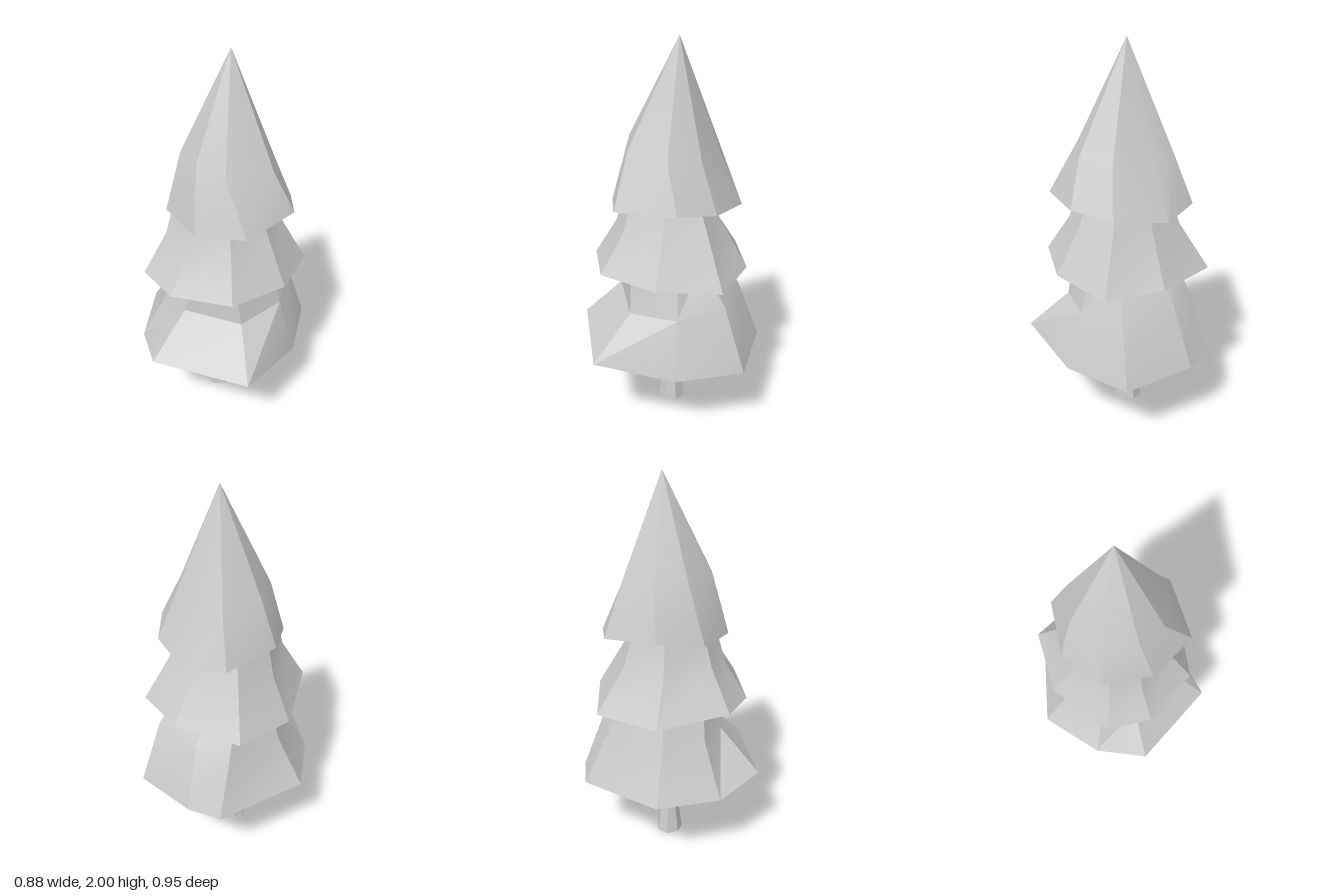
import * as THREE from 'three';
import { toCreasedNormals } from 'three/addons/utils/BufferGeometryUtils.js';

const material = new THREE.MeshStandardMaterial({ color: 0xcccccc });

// Closed skin through rings of [x, y, z] points, listed counter-clockwise seen from above.
function loft(name, rings) {
  const positions = [];
  const tri = (...points) => points.forEach((p) => positions.push(...p));
  const centre = (ring) => [0, 1, 2].map((k) => ring.reduce((sum, p) => sum + p[k], 0) / ring.length);
  const bottom = rings[0], top = rings[rings.length - 1];
  const low = centre(bottom), high = centre(top);
  const n = bottom.length;
  for (let i = 0; i < n; i++) {
    const j = (i + 1) % n;
    for (let r = 0; r < rings.length - 1; r++) {
      const a = rings[r], b = rings[r + 1];
      tri(a[i], a[j], b[j % b.length]);
      if (b.length > 1) tri(a[i], b[j], b[i]);
    }
    tri(low, bottom[j], bottom[i]);
    if (top.length > 1) tri(high, top[i], top[j]);
  }
  const geometry = new THREE.BufferGeometry();
  geometry.setAttribute('position', new THREE.Float32BufferAttribute(positions, 3));
  const mesh = new THREE.Mesh(toCreasedNormals(geometry, 0.42), material);
  mesh.name = name;
  return mesh;
}

// Regular seven-sided ring for the trunk
function trunkRing(y, radius, cz) {
  return Array.from({ length: 7 }, (_, i) => {
    const a = (i / 7) * Math.PI * 2 + 0.25;
    return [radius * Math.sin(a) - 0.003, y, cz + radius * Math.cos(a)];
  });
}

export function createModel() {
  const tree = new THREE.Group();
  tree.name = 'firTree';

  // Flared trunk
  tree.add(loft('trunk', [
    trunkRing(0, 0.072, -0.018),
    trunkRing(0.24, 0.04, -0.018),
    trunkRing(0.45, 0.03, -0.018),
  ]));

  // Lower skirt: rim, shoulder, neck
  tree.add(loft('lowerBranches', [
    [[-0.44, 0.435, 0], [-0.28, 0.415, 0.3], [-0.065, 0.463, 0.475], [0.42, 0.44, 0.315],
      [0.435, 0.39, -0.1], [0.3, 0.385, -0.43], [-0.06, 0.41, -0.48], [-0.23, 0.4, -0.43]],
    [[-0.29, 0.67, 0], [-0.18, 0.69, 0.2], [-0.015, 0.69, 0.26], [0.265, 0.66, 0.155],
      [0.34, 0.68, -0.095], [0.25, 0.73, -0.32], [-0.03, 0.73, -0.365], [-0.2, 0.69, -0.31]],
    [[-0.21, 0.92, 0], [-0.14, 0.92, 0.18], [0.03, 0.92, 0.235], [0.22, 0.92, 0.155],
      [0.265, 0.92, -0.09], [0.18, 0.92, -0.19], [-0.02, 0.92, -0.21], [-0.15, 0.92, -0.18]],
  ]));

  // Middle skirt
  tree.add(loft('middleBranches', [
    [[-0.355, 0.83, -0.015], [-0.22, 0.885, 0.325], [0, 0.87, 0.387], [0.3, 0.885, 0.29],
      [0.415, 0.875, 0], [0.345, 0.85, -0.315], [0.065, 0.865, -0.41], [-0.28, 0.85, -0.33]],
    [[-0.24, 1.06, 0], [-0.15, 1.1, 0.22], [0.01, 1.06, 0.27], [0.22, 1.08, 0.19],
      [0.3, 1.1, -0.02], [0.23, 1.12, -0.22], [0.03, 1.13, -0.255], [-0.18, 1.08, -0.21]],
    [[-0.2, 1.26, 0], [-0.13, 1.26, 0.18], [0.02, 1.26, 0.21], [0.18, 1.26, 0.15],
      [0.235, 1.26, -0.02], [0.18, 1.26, -0.17], [0.02, 1.26, -0.185], [-0.14, 1.26, -0.17]],
  ]));

  // Pointed crown with an off-centre tip
  tree.add(loft('crown', [
    [[-0.27, 1.25, -0.03], [-0.17, 1.21, 0.19], [0.065, 1.195, 0.275], [0.32, 1.23, 0.21],
      [0.385, 1.25, -0.1], [0.265, 1.22, -0.27], [0.02, 1.19, -0.37], [-0.18, 1.22, -0.305]],
    [[-0.195, 1.5, -0.055], [-0.14, 1.5, 0.105], [0.02, 1.52, 0.19], [0.17, 1.48, 0.17],
      [0.295, 1.47, -0.04], [0.21, 1.45, -0.19], [0.02, 1.43, -0.26], [-0.11, 1.47, -0.235]],
    [[0.035, 2, -0.057]],
  ]));

  return tree;
}
